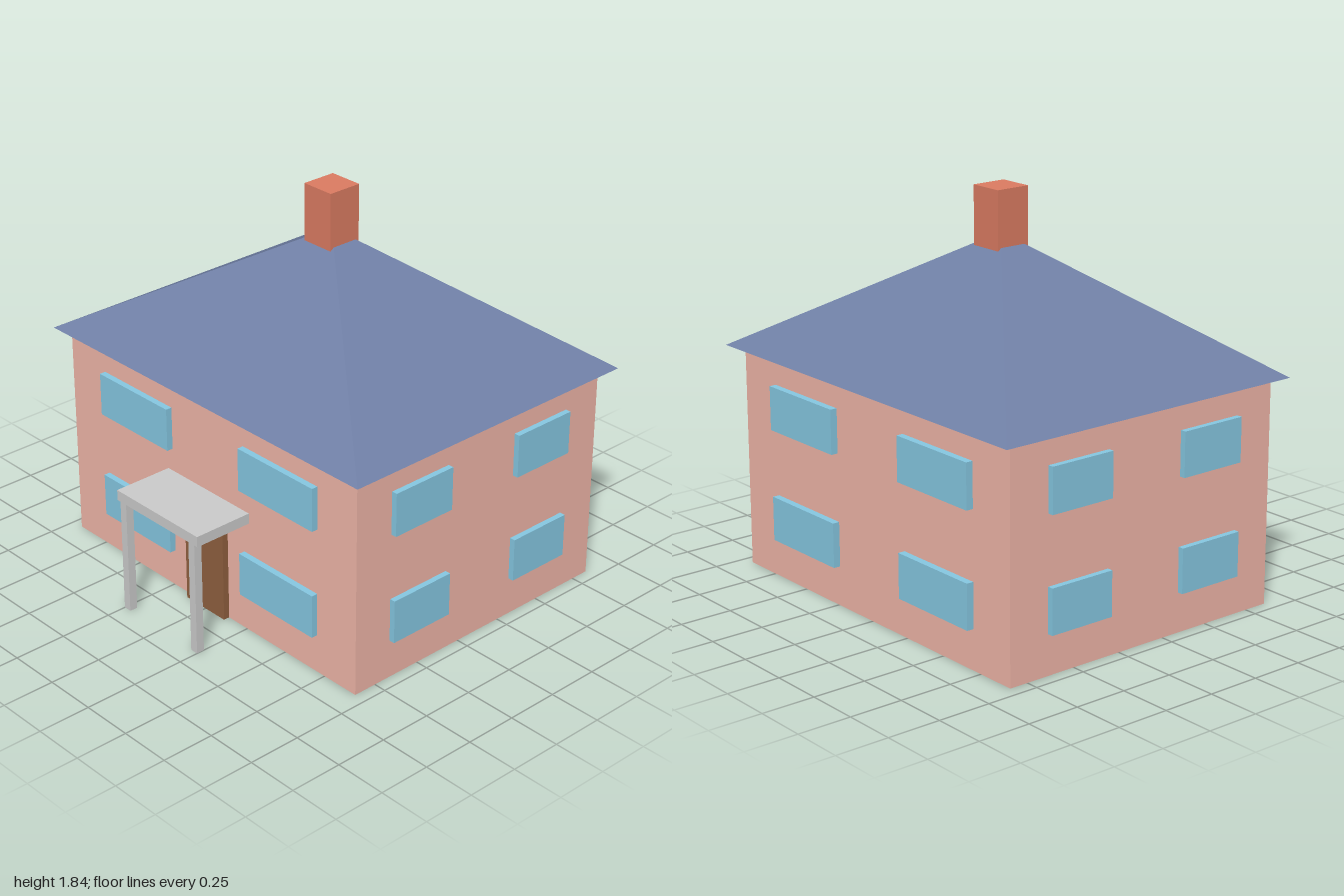
import * as THREE from 'three';

const mat = (color) => new THREE.MeshStandardMaterial({ color, flatShading: true });

export function createModel() {
  const house = new THREE.Group();
  house.name = 'house';
  const wallMat = mat(0xf0b6a8), roofMat = mat(0x7080a6), brickMat = mat(0xdc7c62);
  const glassMat = mat(0x86c8e2), doorMat = mat(0x90603f), greyMat = mat(0xcccccc);

  // Box given by its low and high limits on each axis
  function box(name, material, [x0, x1], [y0, y1], [z0, z1]) {
    const mesh = new THREE.Mesh(new THREE.BoxGeometry(x1 - x0, y1 - y0, z1 - z0), material);
    mesh.position.set((x0 + x1) / 2, (y0 + y1) / 2, (z0 + z1) / 2);
    mesh.name = name;
    house.add(mesh);
  }

  // Main body
  const wallX = 0.94, front = 0.615, back = -0.84, eaves = 1.045;
  box('walls', wallMat, [-wallX, wallX], [0, eaves], [back, front]);

  // Four-sided roof with overhanging eaves
  const roofHeight = 0.583, roofZ = -0.117;
  const roofGeo = new THREE.ConeGeometry(Math.SQRT2, roofHeight, 4).rotateY(Math.PI / 4);
  roofGeo.scale(1, 1, 0.788);
  const roof = new THREE.Mesh(roofGeo, roofMat);
  roof.position.set(0, eaves + roofHeight / 2, roofZ);
  roof.name = 'roof';
  house.add(roof);

  // Chimney through the peak
  box('chimney', brickMat, [-0.083, 0.083], [1.5, 1.835], [-0.2, -0.033]);

  // Windows: two storeys, two on each wall
  const proud = 0.03;
  for (const y of [[0.185, 0.392], [0.707, 0.912]]) {
    for (const x of [[-0.703, -0.237], [0.237, 0.703]]) {
      box('frontWindow', glassMat, x, y, [front - 0.02, front + proud]);
      box('backWindow', glassMat, x, y, [back - proud - 0.003, back + 0.02]);
    }
    for (const z of [[0.087, 0.417], [-0.64, -0.315]]) {
      box('leftWindow', glassMat, [wallX - 0.02, wallX + proud - 0.003], y, z);
      box('rightWindow', glassMat, [-wallX - proud + 0.003, -wallX + 0.02], y, z);
    }
  }

  // Front door
  box('door', doorMat, [-0.127, 0.127], [0, 0.462], [front - 0.02, front + proud]);

  // Porch: flat canopy on two posts
  box('porchCanopy', greyMat, [-0.27, 0.27], [0.546, 0.596], [front, 0.905]);
  for (const x of [[-0.25, -0.211], [0.211, 0.25]]) {
    box('porchPost', greyMat, x, [0, 0.546], [0.866, 0.905]);
  }

  return house;
}
